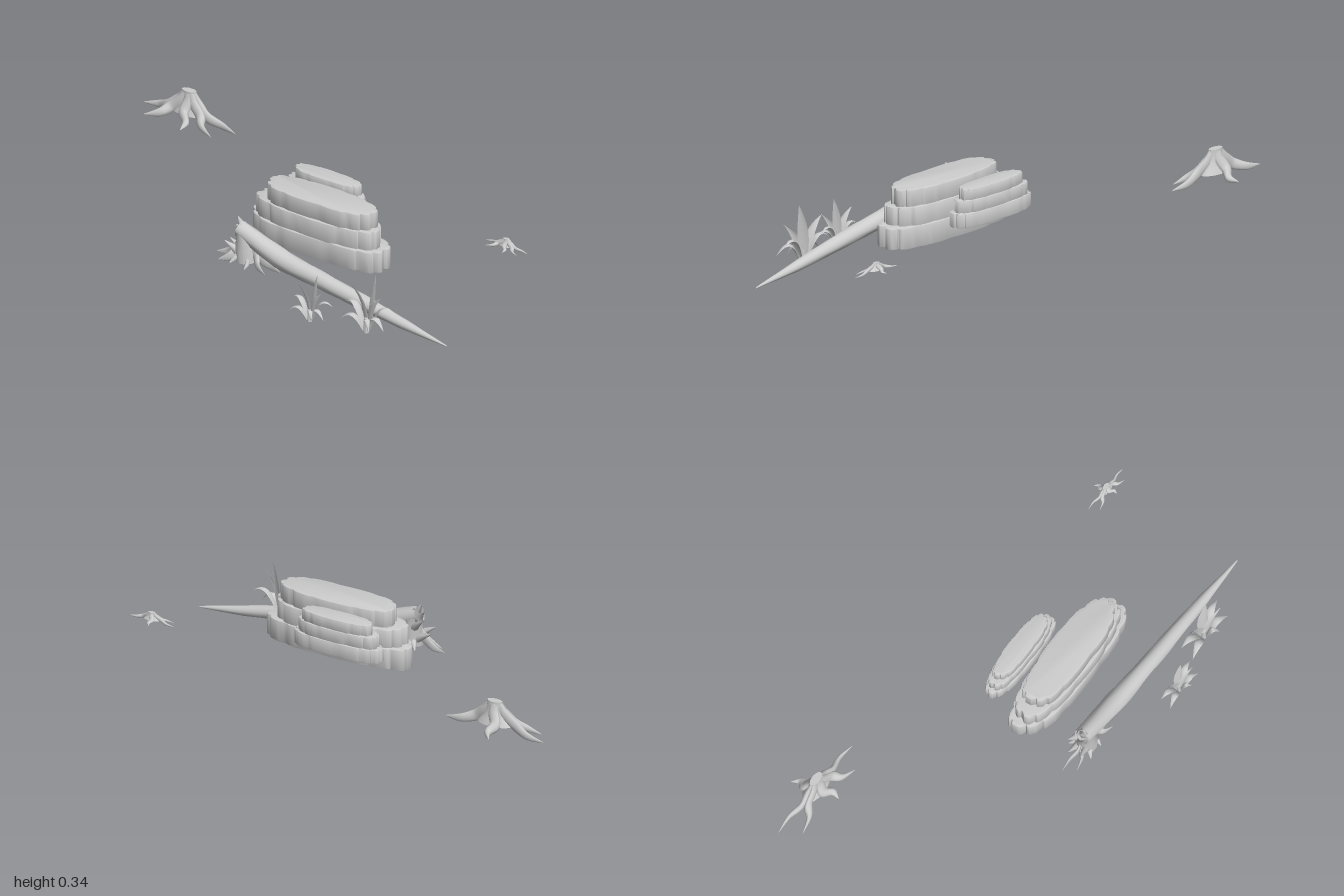
import * as THREE from 'three';
import { toCreasedNormals } from 'three/addons/utils/BufferGeometryUtils.js';

const stone = new THREE.MeshStandardMaterial({ color: 0xcccccc, side: THREE.DoubleSide });
stone.name = 'paleGrey';

const V = (x, y, z) => new THREE.Vector3(x, y, z);

function part(name, geometry, parent) {
  const mesh = new THREE.Mesh(geometry, stone);
  mesh.name = name;
  parent.add(mesh);
  return mesh;
}

function group(name, parent) {
  const g = new THREE.Group();
  g.name = name;
  parent.add(g);
  return g;
}

// Tube whose radius follows a list of values; ridge adds bark grooves
function taper(points, radii, steps = 18, sides = 10, ridge = 0) {
  const curve = new THREE.CatmullRomCurve3(points);
  const geo = new THREE.TubeGeometry(curve, steps, 1, sides, false);
  const pos = geo.attributes.position;
  const v = V(0, 0, 0);
  for (let i = 0; i <= steps; i++) {
    const c = curve.getPointAt(i / steps);
    const f = (i / steps) * (radii.length - 1);
    const k = Math.min(Math.floor(f), radii.length - 2);
    const r = THREE.MathUtils.lerp(radii[k], radii[k + 1], f - k);
    for (let j = 0; j <= sides; j++) {
      const n = i * (sides + 1) + j;
      const a = (j % sides) / sides * Math.PI * 2;
      const bump = 1 + ridge * Math.sin(5 * a + Math.sin(i * 0.7));
      v.fromBufferAttribute(pos, n).sub(c).multiplyScalar(r * bump).add(c);
      pos.setXYZ(n, v.x, v.y, v.z);
    }
  }
  return geo;
}

// One rock layer: rounded oblong with shallow vertical cracks
function rockTier(x0, x1, z0, z1, y0, y1, skew, phase) {
  const N = 96, b = 0.005;
  const cx = (x0 + x1) / 2, cz = (z0 + z1) / 2;
  const rx = (x1 - x0) / 2, rz = (z1 - z0) / 2;
  const power = (c) => Math.sign(c) * Math.pow(Math.abs(c), 0.76);
  const pts = [];
  for (let i = 0; i < N; i++) {
    const a = i / N * Math.PI * 2;
    const crack = Math.pow(Math.abs(Math.cos(6.5 * a + phase + 0.5 * Math.sin(2 * a))), 10);
    const m = 1 - 0.05 * crack - 0.015 * (1 + Math.sin(5 * a + phase * 2));
    const px = power(Math.cos(a)), pz = power(Math.sin(a));
    pts.push(new THREE.Vector2(cx + rx * px * m, -(cz + rz * pz * m + skew * px * (1 - Math.abs(pz)))));
  }
  const geo = new THREE.ExtrudeGeometry(new THREE.Shape(pts), {
    depth: y1 - y0 - 2 * b, bevelThickness: b, bevelSize: b, bevelOffset: -b, bevelSegments: 2,
  });
  geo.rotateX(-Math.PI / 2).translate(0, y0 + b, 0);
  return toCreasedNormals(geo, 0.6);
}

// Flared stump with six creeping roots, standing on its own y = 0
function stump(name, parent, trunk = true) {
  const g = group(name, parent);
  if (trunk) {
    const profile = [[0, 0.13], [0.033, 0.13], [0.034, 0.105], [0.042, 0.08], [0.06, 0.055], [0.075, 0.035], [0, 0.045]]
      .map(([r, y]) => new THREE.Vector2(r, y)).reverse();
    part('stumpTrunk', toCreasedNormals(new THREE.LatheGeometry(profile, 18), 0.8), g);
  }
  const tips = [[-0.225, -0.02], [0.225, 0.01], [-0.03, -0.19], [-0.17, 0.13], [0.155, 0.14], [0.025, 0.18]];
  tips.forEach(([x, z], i) => {
    const w = i % 2 ? 0.012 : -0.012;
    const at = (f, y, s) => V(x * f - z * s * 5, y, z * f + x * s * 5);
    part('root', taper([
      at(0.07, 0.12, 0), at(0.18, 0.085, 0), at(0.4, 0.045, w),
      at(0.68, 0.022, -w), at(1, i > 2 ? 0.002 : 0.01, 0),
    ], [0.018, 0.025, 0.022, 0.015, 0.002]), g);
  });
  return g;
}

// Folded leaf blade along an arc
function leaf(base, mid, tip, width, side) {
  const curve = new THREE.QuadraticBezierCurve3(base, mid, tip);
  const pos = [], index = [], S = 12;
  for (let i = 0; i <= S; i++) {
    const t = i / S, c = curve.getPoint(t);
    const w = width * (0.22 * (1 - t) + Math.pow(Math.sin(Math.PI * Math.pow(t, 0.85)), 0.9));
    const fold = curve.getTangent(t).cross(side).normalize().multiplyScalar(w * 0.45);
    for (const s of [-1, 0, 1]) {
      const p = c.clone().addScaledVector(side, s * w);
      if (s) p.add(fold);
      pos.push(p.x, p.y, p.z);
    }
    if (i < S) for (const j of [0, 1]) {
      const a = i * 3 + j;
      index.push(a, a + 1, a + 3, a + 1, a + 4, a + 3);
    }
  }
  const geo = new THREE.BufferGeometry();
  geo.setAttribute('position', new THREE.Float32BufferAttribute(pos, 3));
  geo.setIndex(index);
  geo.computeVertexNormals();
  return geo;
}

// Plant: upright blades plus leaves arching to both sides
function plant(name, parent, x, z, size) {
  const g = group(name, parent);
  g.position.set(x, 0, z);
  g.scale.setScalar(size);
  // tip x, y, z, arch height, half width
  const leaves = [
    [0.035, 0.25, -0.015, 0.13, 0.02], [-0.09, 0.18, -0.01, 0.13, 0.016], [0.085, 0.175, 0.02, 0.12, 0.014],
    [0.12, 0.10, -0.025, 0.17, 0.014], [0.11, 0.045, 0.035, 0.15, 0.014],
    [-0.115, 0.09, -0.02, 0.16, 0.014], [-0.11, 0.03, 0.03, 0.13, 0.014],
    [0.045, 0.03, 0.045, 0.13, 0.012],
  ];
  leaves.forEach(([tx, ty, tz, my, w], i) => {
    const side = i < 3 ? V(0.85, -0.2 * Math.sign(tx), 0.5).normalize() : V(-tz, 0, tx).normalize();
    part('leaf', leaf(V(tx * 0.06, 0, tz * 0.1), V(tx * (i < 3 ? 0.1 : 0.4), my, tz * 0.5), V(tx, ty, tz), w, side), g);
  });
  part('plantStem', new THREE.CylinderGeometry(0.009, 0.012, 0.06, 8).translate(0, 0.03, 0), g);
}

export function createModel() {
  const model = new THREE.Group();
  model.name = 'rocksAndDeadwood';

  // Layered rocks
  const big = group('largeRock', model);
  part('rockBase', rockTier(-0.112, 0.545, -0.019, 0.172, 0.105, 0.193, 0.018, 0.4), big);
  part('rockMiddle', rockTier(-0.085, 0.505, -0.012, 0.166, 0.187, 0.267, 0.012, 1.7), big);
  part('rockTop', rockTier(-0.035, 0.48, -0.003, 0.158, 0.26, 0.335, 0.006, 2.9), big);
  const small = group('smallRock', model);
  part('rockBase', rockTier(-0.075, 0.325, -0.138, -0.03, 0.178, 0.237, 0.008, 1.1), small);
  part('rockMiddle', rockTier(-0.06, 0.305, -0.133, -0.035, 0.232, 0.286, 0.006, 2.3), small);
  part('rockTop', rockTier(-0.03, 0.285, -0.128, -0.042, 0.28, 0.33, 0.004, 0.2), small);

  // Standing stumps
  const left = stump('largeStump', model);
  left.position.set(-0.775, 0.18, -0.39);
  left.scale.z = 0.5;
  const right = stump('smallStump', model);
  right.position.set(0.875, 0.18, -0.235);
  right.scale.set(0.47, 0.31, 0.24);

  // Fallen log with its root plate and broken splinters
  const log = group('fallenLog', model);
  part('logTrunk', taper(
    [V(0, 0.215, 0.303), V(0.2, 0.143, 0.303), V(0.4, 0.108, 0.305), V(0.6, 0.073, 0.304), V(0.8, 0.036, 0.303), V(0.995, 0.004, 0.303)],
    [0.032, 0.04, 0.033, 0.029, 0.02, 0.003], 40, 20, 0.07), log);
  const roots = stump('rootPlate', log, false);
  roots.position.set(0.04, 0.072, 0.303);
  roots.scale.set(0.69, 1.05, 0.28);
  part('rootCollar', taper(
    [V(0.035, 0.09, 0.303), V(0.03, 0.14, 0.303), V(0.02, 0.2, 0.303), V(0, 0.235, 0.303)],
    [0.045, 0.045, 0.036, 0.02], 12, 14, 0.08), log);
  [[-0.01, 0.262, 0.303], [-0.035, 0.205, 0.265], [-0.05, 0.16, 0.335], [-0.06, 0.15, 0.285]].forEach(([x, y, z]) =>
    part('splinter', taper(
      [V(0.04, y - 0.07, 0.303), V(0.015, y - 0.04, (z + 0.303) / 2), V(x, y, z)], [0.025, 0.018, 0.002], 10, 8), log));
  for (const s of [-1, 1]) {
    part('sideRoot', taper(
      [V(0.04, 0.14, 0.303), V(0.01, 0.11, 0.303 + s * 0.03), V(-0.01, 0.085, 0.303 + s * 0.052)], [0.024, 0.016, 0.003], 10, 8), log);
  }

  // Leafy plants
  plant('smallPlant', model, 0.44, 0.44, 0.8);
  plant('largePlant', model, 0.672, 0.385, 1);

  return model;
}
